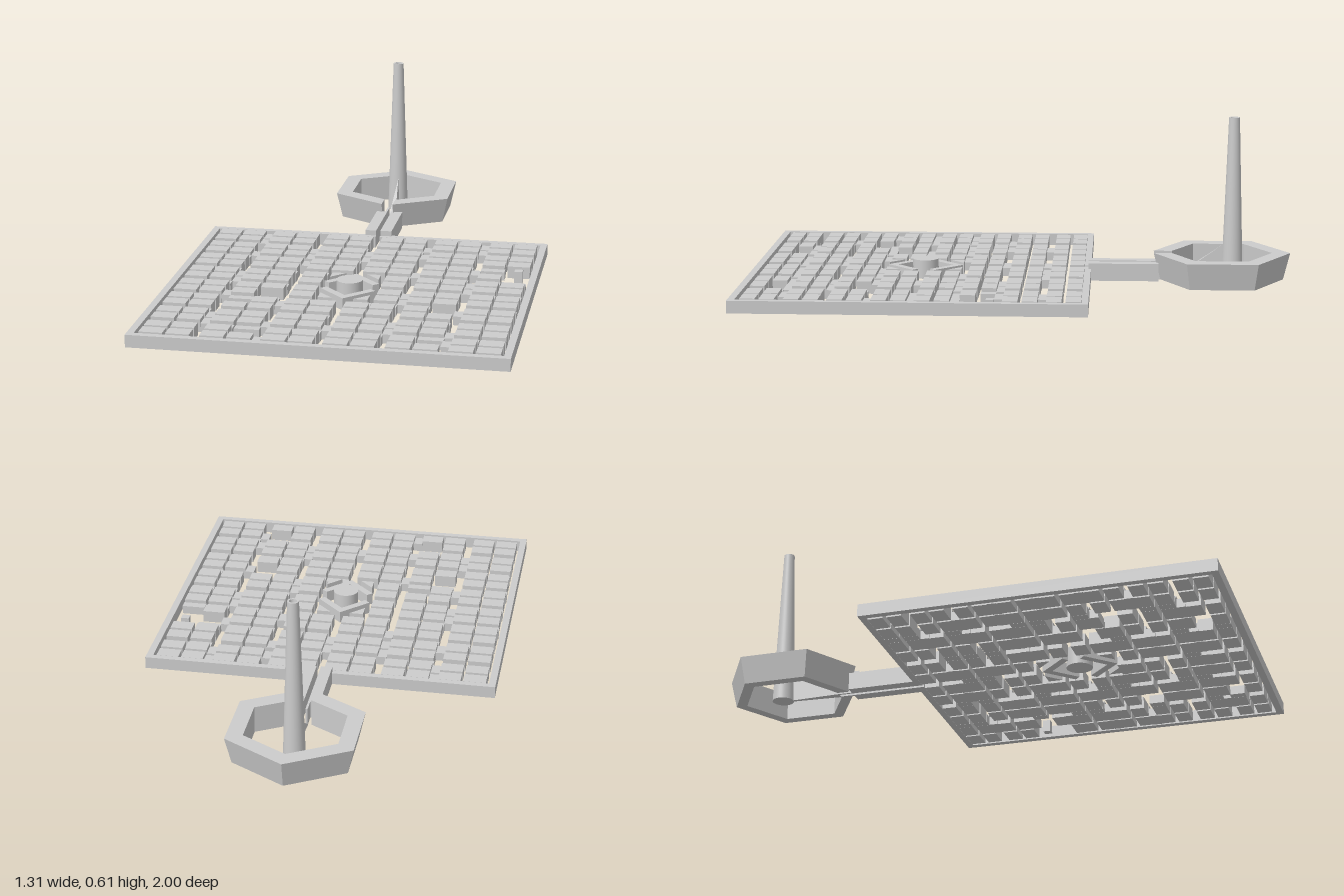
import * as THREE from 'three';
import { mergeGeometries } from 'three/addons/utils/BufferGeometryUtils.js';
import { ConvexGeometry } from 'three/addons/geometries/ConvexGeometry.js';

const material = new THREE.MeshStandardMaterial({ color: 0xcccccc, flatShading: true });
const smooth = new THREE.MeshStandardMaterial({ color: 0xcccccc, side: THREE.DoubleSide });
const WALL = 0.045, STREET = 0.032, PLAZA_Z = 0.36;

// Box from its x and z limits, standing on the ground
function slab(x0, x1, z0, z1, h) {
  return new THREE.BoxGeometry(x1 - x0, h, z1 - z0).translate((x0 + x1) / 2, h / 2, (z0 + z1) / 2);
}
const centred = (x, z, w, d, h) => slab(x - w / 2, x + w / 2, z - d / 2, z + d / 2, h);

// Upright prism from a plan outline of [x, z] points
function prism(points, h) {
  const shape = new THREE.Shape(points.map(([x, z]) => new THREE.Vector2(x, -z)));
  return new THREE.ExtrudeGeometry(shape, { depth: h, bevelEnabled: false }).rotateX(-Math.PI / 2);
}

// City grid: 6 x 8 clusters, each of 2 x 2 blocks
const pairX = (p) => (p - 2.5) * 0.2113;
const pairZ = (p) => -0.174 + p * 0.1527;
const blockX = (c) => pairX(c >> 1) + (c % 2 ? 0.0465 : -0.0465);
const blockZ = (r) => pairZ(r >> 1) + (r % 2 ? 0.034 : -0.034);
const inPlaza = (c, r) => c > 4 && c < 7 && r > 5 && r < 10;
const openBlocks = ['3,9', '2,10', '9,10', '3,14', '11,4', '10,4', '9,14', '11,5'];

function cityBlocks() {
  const parts = [];
  for (let c = 0; c < 12; c++) {
    for (let r = 0; r < 16; r++) {
      if (inPlaza(c, r) || openBlocks.includes(`${c},${r}`)) continue;
      parts.push(centred(blockX(c), blockZ(r), 0.083, 0.054, WALL));
    }
  }
  // two small free-standing houses
  parts.push(centred(0.275, 0.022, 0.03, 0.028, WALL), centred(0.58, 0.083, 0.03, 0.028, WALL));
  return mergeGeometries(parts);
}

// Filled street pieces: 1 marks a low link between neighbouring blocks
const streetsAlongZ = [
  '1101001101001100',
  '0011100000100101',
  '0011000000000100',
  '0110010011001100',
  '1100101100100110',
];
const streetsAlongX = [
  '001001110010',
  '011001001110',
  '111110011111',
  '110100001011',
  '101110111001',
  '010011001100',
  '001111111110',
];
function streetLinks() {
  const parts = [];
  streetsAlongZ.forEach((row, s) => [...row].forEach((k, r) => {
    if (k === '1') parts.push(centred(pairX(s + 0.5), blockZ(r), 0.034, 0.056, STREET));
  }));
  streetsAlongX.forEach((row, s) => [...row].forEach((k, c) => {
    if (k === '1') parts.push(centred(blockX(c), pairZ(s + 0.5), 0.088, 0.034, STREET));
  }));
  return mergeGeometries(parts);
}

// Outer wall with a narrow gate in the back side
function outerWall() {
  return mergeGeometries([
    slab(-0.653, -0.628, -0.26, 0.995, WALL),
    slab(0.628, 0.653, -0.26, 0.995, WALL),
    slab(-0.628, 0.628, 0.97, 0.995, WALL),
    slab(-0.628, -0.01, -0.26, -0.236, WALL),
    slab(0.006, 0.628, -0.26, -0.236, WALL),
  ]);
}

// Diamond walls and corner houses of the plaza
function plazaWalls() {
  const parts = [];
  for (const s of [-1, 1]) {
    parts.push(prism([[-0.1, 0.04], [0, 0.14], [0.1, 0.04], [0.08, 0.022], [0, 0.102], [-0.08, 0.022]]
      .map(([x, z]) => [x, PLAZA_Z + s * z]), WALL));
    for (const t of [-1, 1]) {
      parts.push(prism([[0.09, 0.14], [0.038, 0.14], [0.09, 0.088]]
        .map(([x, z]) => [t * x, PLAZA_Z + s * z]), WALL));
    }
  }
  return mergeGeometries(parts);
}

// Six-sided flared ring, open at its front corner, lofted through its corners
function hexRing() {
  const profile = [[0.235, 0], [0.26, 0.1], [0.192, 0.1], [0.192, 0]];
  const gap = 0.022;
  const section = (k) => profile.map(([r, y]) => {
    const end = k === 0 || k === 6;
    const a = k * Math.PI / 3;
    if (end) return [k === 0 ? gap : -gap, y, r - gap / Math.sqrt(3)];
    return [r * Math.sin(a), y, r * Math.cos(a)];
  });
  const verts = [];
  const quad = (a, b, c, d) => verts.push(...a, ...b, ...c, ...a, ...c, ...d);
  for (let k = 0; k < 6; k++) {
    const p = section(k), q = section(k + 1);
    for (let i = 0; i < 4; i++) {
      const j = (i + 1) % 4;
      quad(p[i], q[i], q[j], p[j]);
    }
  }
  quad(...section(0));
  quad(...section(6).reverse());
  const geo = new THREE.BufferGeometry();
  geo.setAttribute('position', new THREE.Float32BufferAttribute(verts, 3));
  geo.computeVertexNormals();
  return geo;
}

// Tapered tower with a shallow recessed top; doubled points keep the rims sharp
function tower() {
  const pts = [[0, 0], [0.04, 0], [0.04, 0], [0.02, 0.608], [0.02, 0.608], [0.013, 0.608],
    [0.013, 0.608], [0.01, 0.58], [0.01, 0.58], [0, 0.58]];
  return new THREE.LatheGeometry(pts.map(([x, y]) => new THREE.Vector2(x, y)), 32);
}

export function createModel() {
  const model = new THREE.Group();
  const add = (name, geo, mat = material) => {
    const mesh = new THREE.Mesh(geo, mat);
    mesh.name = name;
    model.add(mesh);
    return mesh;
  };

  add('outerWall', outerWall());
  add('cityBlocks', cityBlocks());
  add('streetLinks', streetLinks());
  add('plazaWalls', plazaWalls());
  add('plazaDisc', new THREE.CylinderGeometry(0.048, 0.048, 0.07, 32).translate(0, 0.035, PLAZA_Z), 
    new THREE.MeshStandardMaterial({ color: 0xcccccc }));

  // Causeway from the city gate to the ring
  add('causewayLeft', slab(0.006, 0.05, -0.51, -0.25, 0.065));
  add('causewayRight', slab(-0.052, -0.01, -0.51, -0.25, 0.065));
  add('causewayEndLeft', slab(0.006, 0.014, -0.565, -0.51, 0.065));
  add('causewayEndRight', slab(-0.018, -0.01, -0.565, -0.51, 0.065));

  add('hexRing', hexRing()).position.set(-0.0085, 0, -0.74);
  add('tower', tower(), smooth).position.set(-0.012, 0, -0.785);

  // Narrow ramp rising from the causeway to the tower
  const ramp = [[-0.019, 0, -0.56], [0.011, 0, -0.56], [-0.01, 0, -0.76], [0, 0, -0.76], [-0.006, 0.135, -0.755]];
  add('ramp', new ConvexGeometry(ramp.map((p) => new THREE.Vector3(...p))));
  return model;
}
